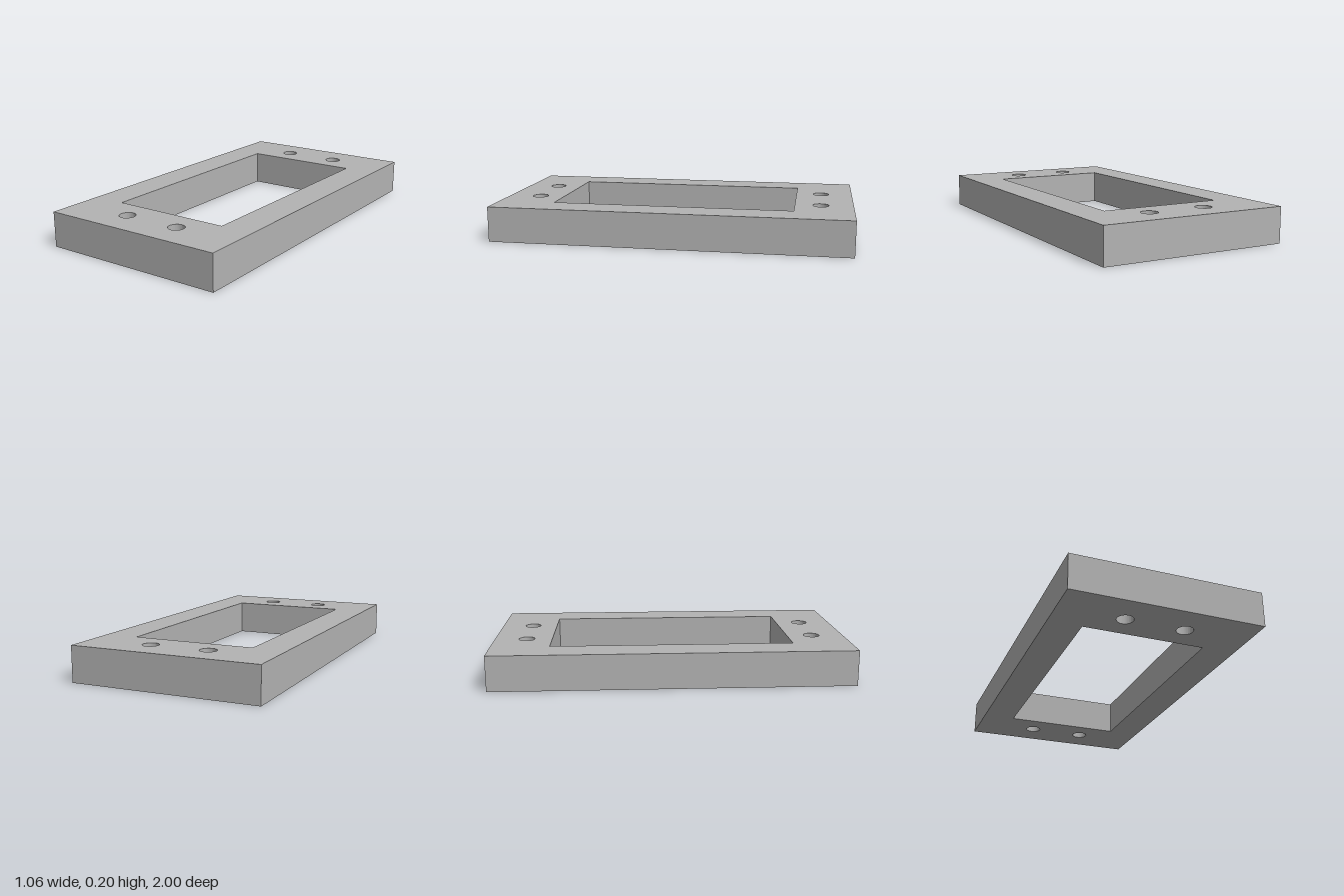
import * as THREE from 'three';
import { toCreasedNormals } from 'three/addons/utils/BufferGeometryUtils.js';

const WIDTH = 1.056, LENGTH = 2, HEIGHT = 0.198;
const WINDOW_WIDTH = 0.682, WINDOW_LENGTH = 1.35;
const HOLE_X = 0.165, HOLE_Z = 0.819, HOLE_RADIUS = 0.045;

// Trace a centred rectangle on a shape or path
function rectangle(path, width, length) {
  const x = width / 2, y = length / 2;
  path.moveTo(-x, -y);
  path.lineTo(x, -y);
  path.lineTo(x, y);
  path.lineTo(-x, y);
  path.closePath();
  return path;
}

export function createModel() {
  const model = new THREE.Group();
  model.name = 'mountingFrame';

  const grey = new THREE.MeshStandardMaterial({ color: 0xb3b3b3 });
  grey.name = 'grey';

  // Frame outline with the central window
  const outline = rectangle(new THREE.Shape(), WIDTH, LENGTH);
  outline.holes.push(rectangle(new THREE.Path(), WINDOW_WIDTH, WINDOW_LENGTH));

  // Two screw holes at each end
  for (const sx of [-1, 1]) {
    for (const sz of [-1, 1]) {
      const hole = new THREE.Path();
      hole.absarc(sx * HOLE_X, sz * HOLE_Z, HOLE_RADIUS, 0, Math.PI * 2, true);
      outline.holes.push(hole);
    }
  }

  // Extrude, then lay flat on the ground
  const extruded = new THREE.ExtrudeGeometry(outline, {
    depth: HEIGHT, bevelEnabled: false, curveSegments: 24,
  });
  extruded.rotateX(-Math.PI / 2);

  const frame = new THREE.Mesh(toCreasedNormals(extruded, Math.PI / 6), grey);
  frame.name = 'frame';
  model.add(frame);
  return model;
}
